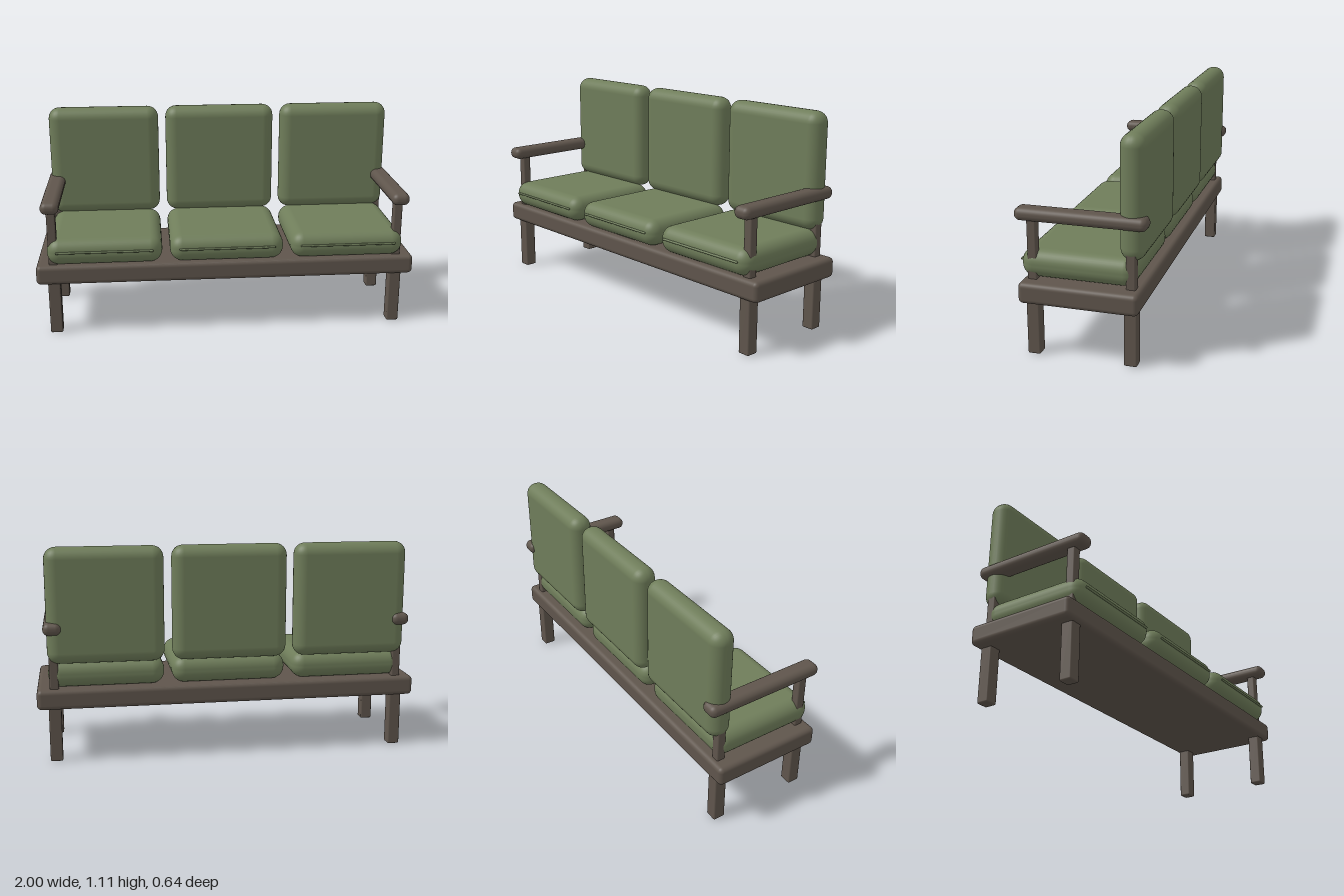
import * as THREE from 'three';
import { RoundedBoxGeometry } from 'three/addons/geometries/RoundedBoxGeometry.js';

export function createModel() {
  const group = new THREE.Group();
  const wood = new THREE.MeshStandardMaterial({ name: 'brown wood', color: 0x5f554c });
  const fabric = new THREE.MeshStandardMaterial({ name: 'green fabric', color: 0x6f7d5a });

  // Rounded block given by its size and centre
  function block(name, material, [w, h, d], radius, [x, y, z]) {
    const mesh = new THREE.Mesh(new RoundedBoxGeometry(w, h, d, 4, radius), material);
    mesh.name = name;
    mesh.position.set(x, y, z);
    group.add(mesh);
  }

  // Platform under the seat
  block('base', wood, [2, 0.104, 0.584], 0.024, [0, 0.332, 0]);

  // Legs, arm posts and armrests on both sides
  for (const [side, s] of [['left', 1], ['right', -1]]) {
    for (const [end, z] of [['front', 0.24], ['back', -0.24]]) {
      block(`${side} ${end} leg`, wood, [0.064, 0.3, 0.064], 0.008, [s * 0.91, 0.15, z]);
      block(`${side} ${end} arm post`, wood, [0.046, 0.34, 0.046], 0.008, [s * 0.91, 0.53, z]);
    }
    block(`${side} armrest`, wood, [0.094, 0.064, 0.64], 0.03, [s * 0.91, 0.703, 0]);
  }

  // Three seats, each with a cushion, a front seam and a back cushion
  const seamGeometry = new THREE.CapsuleGeometry(0.006, 0.494, 4, 8);
  for (const x of [-0.64, 0, 0.64]) {
    block('seat cushion', fabric, [0.6, 0.14, 0.568], 0.064, [x, 0.454, 0.019]);
    block('back cushion', fabric, [0.6, 0.596, 0.124], 0.06, [x, 0.813, -0.241]);
    const seam = new THREE.Mesh(seamGeometry, fabric);
    seam.name = 'seat seam';
    seam.rotation.z = Math.PI / 2;
    seam.position.set(x, 0.463, 0.307);
    group.add(seam);
  }
  return group;
}
